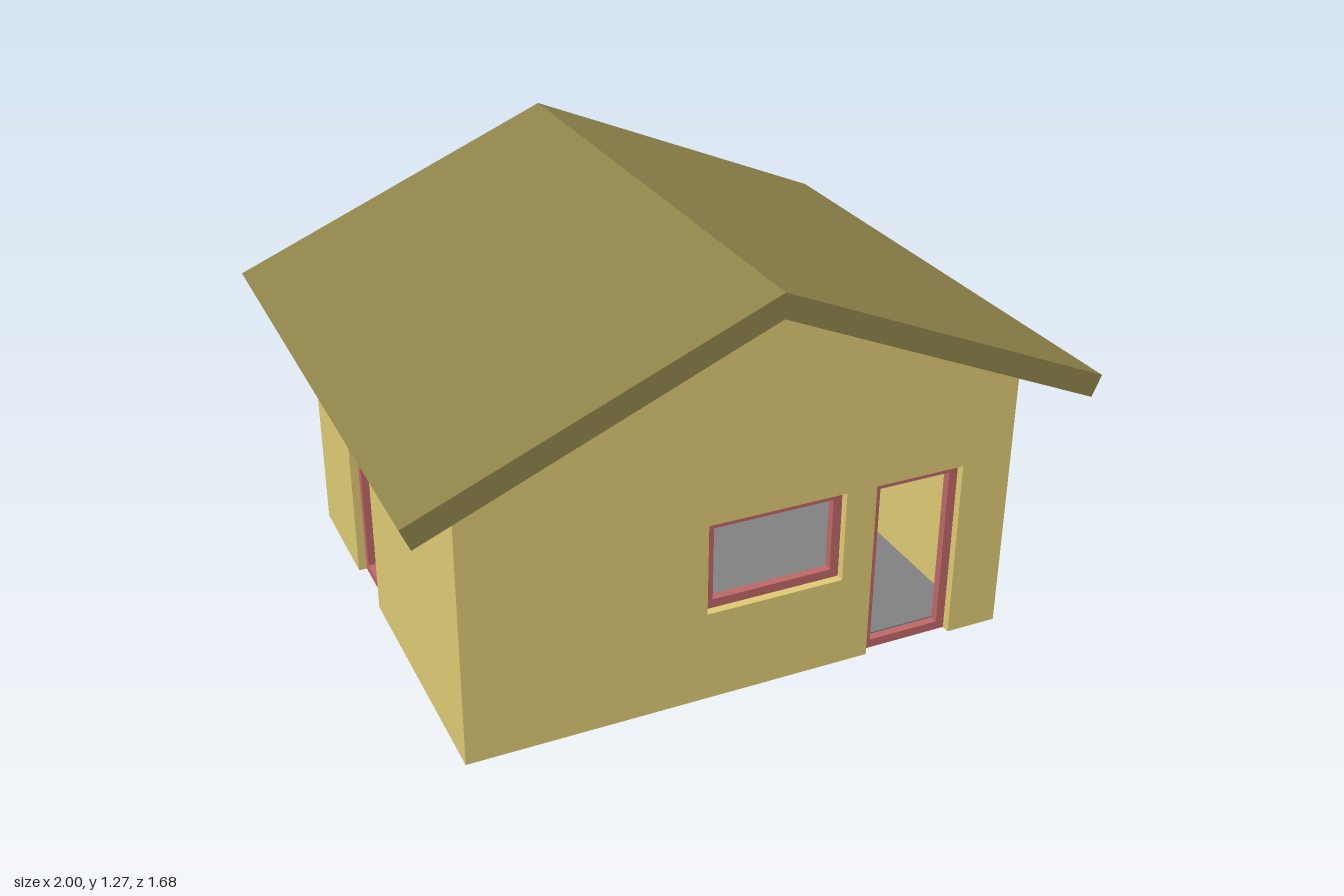
import * as THREE from 'three';

const W = 0.83, D = 0.7, T = 0.07;      // half width, half depth, wall thickness
const EAVE = 0.842, RIDGE = 1.195;      // wall heights under the roof
const FRAME = 0.027;                    // width of a frame bar

const paint = (color) => new THREE.MeshStandardMaterial({ color, side: THREE.DoubleSide });
const wallMat = paint(0xdcc973);
const roofMat = paint(0x8e824a);
const frameMat = paint(0xbc6666);
const floorMat = paint(0x808080);

const polygon = (pts) => new THREE.Shape(pts.map(([x, y]) => new THREE.Vector2(x, y)));
const rect = (x0, x1, y0, y1) => [[x0, y0], [x1, y0], [x1, y1], [x0, y1]];

function extrude(name, shape, depth, z, material) {
  const geo = new THREE.ExtrudeGeometry(shape, { depth, bevelEnabled: false });
  geo.translate(0, 0, z);
  const mesh = new THREE.Mesh(geo, material);
  mesh.name = name;
  return mesh;
}

// Wall with its outer face at local z = 0; openings are { name, x0, x1, y0, y1 }
function makeWall(name, half, peak, openings) {
  const group = new THREE.Group();
  group.name = name;
  const outline = [[-half, 0]];
  const holes = [];
  for (const { x0, x1, y0, y1 } of openings) {
    if (y0 === 0) outline.push([x0, 0], [x0, y1], [x1, y1], [x1, 0]);
    else holes.push(polygon(rect(x0, x1, y0, y1)));
  }
  outline.push([half, 0], [half, EAVE]);
  if (peak) outline.push([0, peak]);
  outline.push([-half, EAVE]);
  const shape = polygon(outline);
  shape.holes.push(...holes);
  group.add(extrude(name + 'Panel', shape, T, -T, wallMat));

  // recessed frame in each opening
  for (const { name: part, x0, x1, y0, y1 } of openings) {
    const ring = polygon(rect(x0, x1, y0, y1));
    ring.holes.push(polygon(rect(x0 + FRAME, x1 - FRAME, y0 + FRAME, y1 - FRAME)));
    group.add(extrude(part, ring, 0.025, -0.05, frameMat));
  }
  return group;
}

export function createModel() {
  const house = new THREE.Group();
  house.name = 'house';

  // gable walls
  const front = makeWall('frontWall', W, RIDGE, [
    { name: 'windowFrame', x0: -0.125, x1: 0.295, y0: 0.28, y1: 0.56 },
    { name: 'frontDoorFrame', x0: 0.39, x1: 0.67, y0: 0, y1: 0.56 },
  ]);
  front.position.z = D;
  const back = makeWall('backWall', W, RIDGE, [
    { name: 'patioDoorFrame', x0: -0.367, x1: 0.298, y0: 0, y1: 0.56 },
  ]);
  back.position.z = -D;
  back.rotation.y = Math.PI;

  // side walls, fitted between the gables
  const right = makeWall('sideWallPlusX', D - T, 0, [
    { name: 'sideDoorFramePlusX', x0: 0.165, x1: 0.39, y0: 0, y1: 0.56 },
  ]);
  right.position.x = W;
  right.rotation.y = Math.PI / 2;
  const left = makeWall('sideWallMinusX', D - T, 0, [
    { name: 'sideDoorFrameMinusX', x0: -0.335, x1: -0.11, y0: 0, y1: 0.56 },
  ]);
  left.position.x = -W;
  left.rotation.y = -Math.PI / 2;
  house.add(front, back, right, left);

  // pitched roof with overhanging eaves
  const roof = polygon([
    [0, 1.266], [-1, 0.843], [-0.973, 0.781], [0, RIDGE], [0.973, 0.781], [1, 0.843],
  ]);
  house.add(extrude('roof', roof, 1.68, -0.84, roofMat));

  // floor slab inside the walls
  const floor = new THREE.Mesh(new THREE.BoxGeometry(2 * (W - T), 0.015, 2 * (D - T)), floorMat);
  floor.name = 'floor';
  floor.position.y = 0.0075;
  house.add(floor);

  return house;
}
